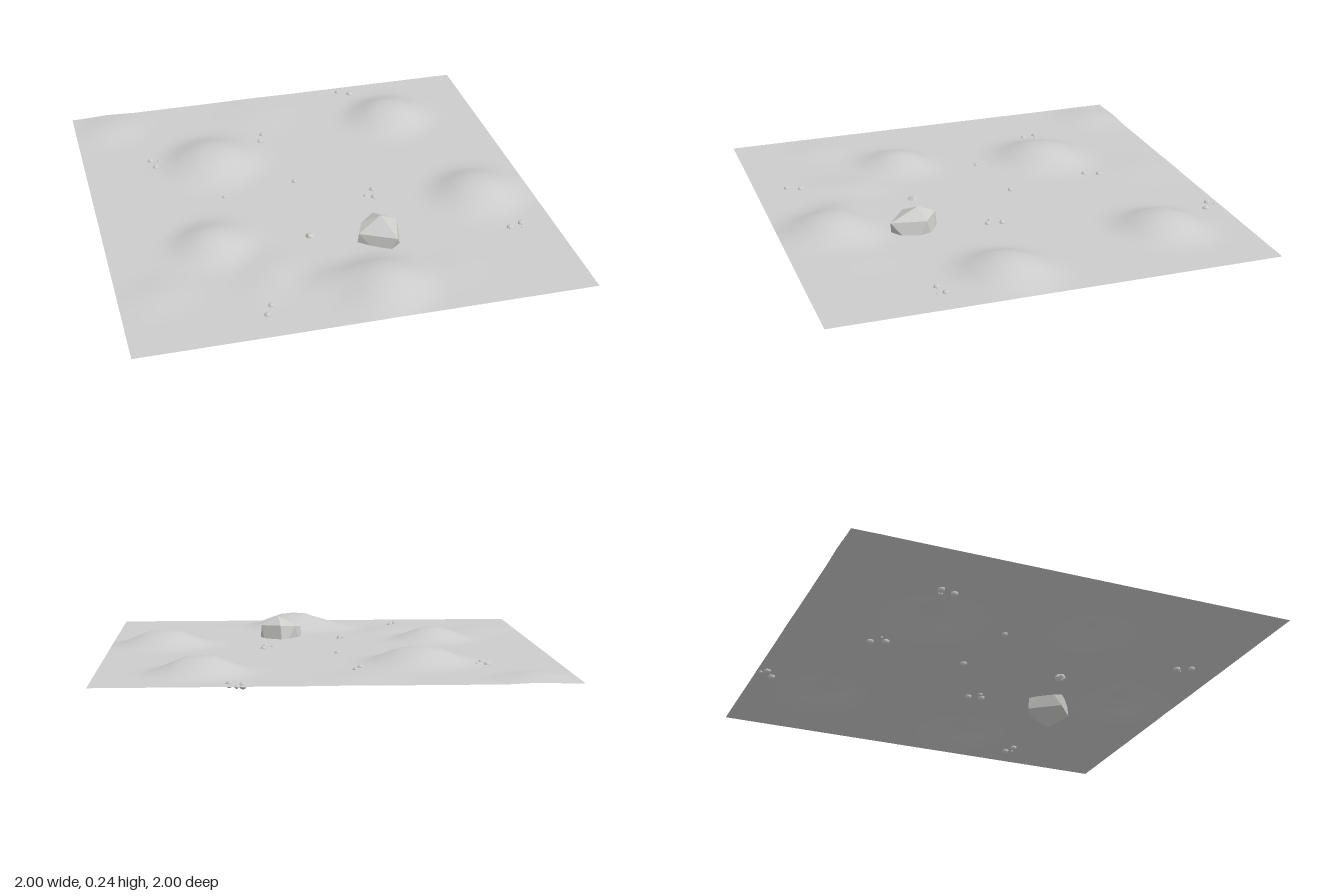
import * as THREE from 'three';
import { ConvexGeometry } from 'three/addons/geometries/ConvexGeometry.js';

const GROUND_Y = 0.134;

// Mounds: x, z, radius, height
const MOUNDS = [
  [-0.39, -0.42, 0.28, 0.072], [0.56, -0.64, 0.25, 0.074],
  [0.75, 0.16, 0.26, 0.072], [-0.53, 0.28, 0.22, 0.06],
  [0.12, 0.76, 0.26, 0.072], [-0.08, 0.68, 0.14, 0.022],
  [-0.82, -0.86, 0.2, 0.022], [-0.32, 0.52, 0.17, 0.012],
  [-0.82, 0.6, 0.18, 0.012], [-0.1, -0.82, 0.25, 0.008],
  [0.45, 0.72, 0.15, 0.006], [-0.38, 0.66, 0.15, 0.008],
];

function groundHeight(x, z) {
  let h = 0;
  for (const [mx, mz, r, top] of MOUNDS) {
    const d = Math.hypot(x - mx, z - mz) / r;
    if (d < 1) h += top * 0.5 * (1 + Math.cos(Math.PI * Math.pow(d, 1.15)));
  }
  return Math.min(h, 0.066);
}

// Pebbles: x, z, radius
const PEBBLES = [
  [-0.68, -0.5, 0.016], [-0.665, -0.435, 0.016], [-0.64, -0.49, 0.011],
  [-0.1, -0.615, 0.016], [-0.125, -0.55, 0.016], [-0.155, -0.58, 0.006],
  [-0.05, -0.145, 0.016], [-0.4, -0.09, 0.013],
  [0.285, 0.015, 0.016], [0.275, 0.08, 0.016], [0.24, 0.06, 0.011],
  [0.38, -0.955, 0.016], [0.435, -0.92, 0.016], [0.405, -0.98, 0.009],
  [0.855, 0.46, 0.016], [0.795, 0.48, 0.016], [0.85, 0.495, 0.007],
  [-0.38, 0.79, 0.016], [-0.41, 0.85, 0.016], [-0.36, 0.815, 0.006],
];

export function createModel() {
  const group = new THREE.Group();
  const groundGrey = new THREE.MeshStandardMaterial({ color: 0xcccccc, side: THREE.DoubleSide });
  groundGrey.name = 'ground grey';
  const stoneGrey = new THREE.MeshStandardMaterial({ color: 0xcccccb, flatShading: true });
  stoneGrey.name = 'stone grey';

  const add = (name, geometry, material) => {
    const mesh = new THREE.Mesh(geometry, material);
    mesh.name = name;
    group.add(mesh);
    return mesh;
  };

  // Thin rolling ground sheet
  const ground = new THREE.PlaneGeometry(2, 2, 32, 32).rotateX(-Math.PI / 2);
  const p = ground.attributes.position;
  for (let i = 0; i < p.count; i++) p.setY(i, GROUND_Y + groundHeight(p.getX(i), p.getZ(i)));
  ground.computeVertexNormals();
  add('ground', ground, groundGrey);

  // Large faceted boulder half sunk through the ground
  const corners = [
    [0.21, 0.236, 0.39],
    [0.2, 0.2, 0.305], [0.29, 0.195, 0.37], [0.25, 0.19, 0.525], [0.1, 0.18, 0.43], [0.13, 0.19, 0.36],
    [0.2, 0.075, 0.51], [0.3, 0.075, 0.43], [0.27, 0.075, 0.33], [0.19, 0.075, 0.29], [0.09, 0.075, 0.42],
    [0.205, 0, 0.4],
  ].map((c) => new THREE.Vector3(...c));
  add('boulder', new ConvexGeometry(corners), stoneGrey);

  // Medium stone
  const stone = add('stone', new THREE.IcosahedronGeometry(0.027, 0), stoneGrey);
  stone.position.set(-0.095, 0.126, 0.325);
  stone.rotation.set(0.3, 0.5, 0);

  // Scattered pebbles
  const pebble = new THREE.IcosahedronGeometry(1, 1);
  PEBBLES.forEach(([x, z, r], i) => {
    const mesh = add('pebble', pebble, stoneGrey);
    mesh.position.set(x, GROUND_Y - 0.003 + groundHeight(x, z) * 0.3, z);
    mesh.scale.setScalar(r);
    mesh.rotation.y = i * 1.3;
  });

  return group;
}
